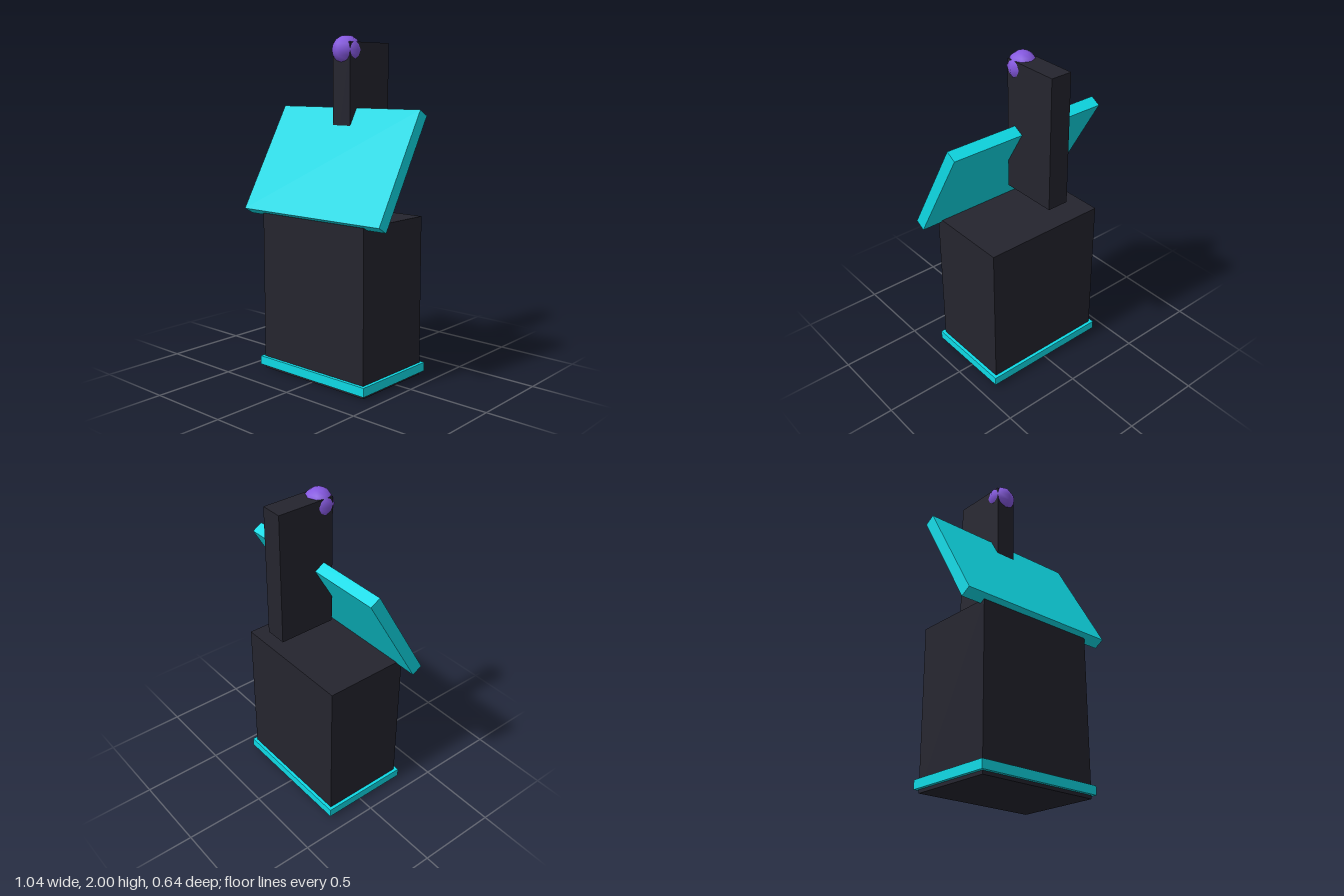
import * as THREE from 'three';

export function createModel() {
  const model = new THREE.Group();
  const mat = (name, color) => {
    const m = new THREE.MeshStandardMaterial({ color });
    m.name = name;
    return m;
  };
  const charcoal = mat('charcoal', 0x24242e);
  const cyan = mat('cyan', 0x0edae6);
  const purple = mat('purple', 0x8558e0);

  const add = (name, geometry, material, x, y, z) => {
    const mesh = new THREE.Mesh(geometry, material);
    mesh.name = name;
    mesh.position.set(x, y, z);
    model.add(mesh);
    return mesh;
  };

  // Pedestal with a trim band just above the floor
  add('pedestal', new THREE.BoxGeometry(0.78, 0.96, 0.523), charcoal, 0, 0.48, 0.03);
  add('baseTrim', new THREE.BoxGeometry(0.82, 0.053, 0.563), cyan, 0, 0.047, 0.03);

  // Panel leaning back by 30 degrees
  const panel = add('tiltedPanel', new THREE.BoxGeometry(1.04, 0.7, 0.07), cyan, 0, 1.264, 0.116);
  panel.rotation.x = -Math.PI / 6;

  // Upright arm passing through the panel, with a ball at its top front edge
  add('arm', new THREE.BoxGeometry(0.131, 0.78, 0.35), charcoal, 0, 1.57, -0.145);
  add('ball', new THREE.SphereGeometry(0.085, 8, 8), purple, 0, 1.915, -0.015);

  return model;
}
